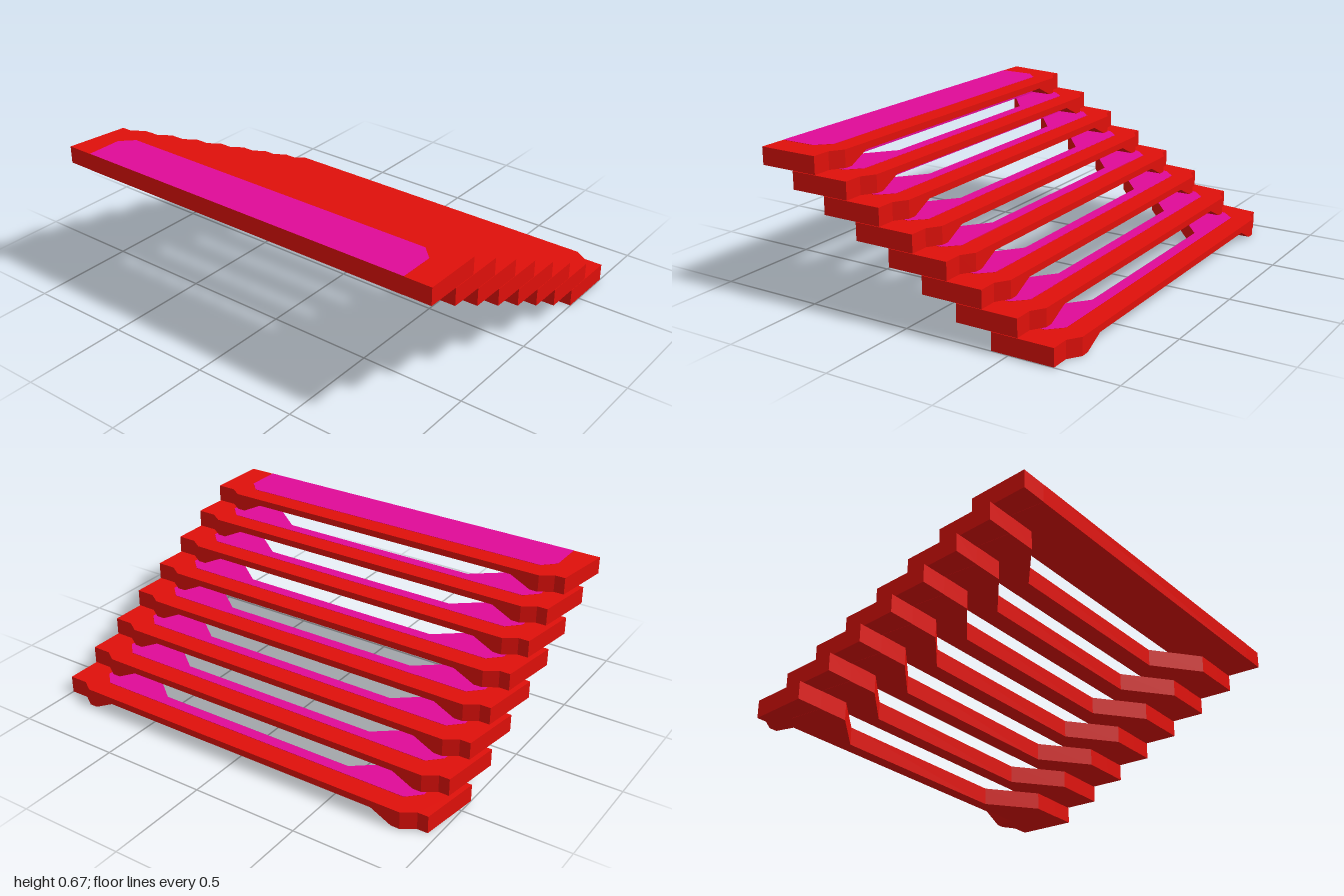
import * as THREE from 'three';

const STEPS = 8, RISE = 0.0838, RUN = 0.167, DEPTH = 0.331, LIP = 0.001;
const HEIGHT = RISE - 2 * LIP;
const red = new THREE.MeshStandardMaterial({ color: 0xe0100a, flatShading: true });
const magenta = new THREE.MeshStandardMaterial({ color: 0xe00a98, flatShading: true });

// Plan points are [x, distance from the step's back edge]
const legInner = [[0.81, 0], [0.81, 0.1], [0.87, 0.16], [0.87, DEPTH]];
const mirrored = pts => pts.map(([x, d]) => [-x, d]);
const rightLegPlan = [...mirrored(legInner), [-1, DEPTH], [-0.96, 0.04], [-0.91, 0.04], [-0.85, 0]];
const leftLegPlan = [...legInner, [1, DEPTH], [1, 0.04], [0.91, 0.04], [0.85, 0]];
const panelPlan = [[-0.87, DEPTH], [-0.87, 0.16], [-0.81, 0.1], [0.81, 0.1], [0.87, 0.16], [0.87, DEPTH]];
const notchedPlan = [...panelPlan, [0.72, DEPTH], [0.5, 0.155], [-0.5, 0.155], [-0.72, DEPTH]];

// Back bar seen from the back: its underside is raised between the ends
const barProfile = [[-0.81, 0], [-0.71, 0.05], [0.71, 0.05], [0.81, 0], [0.81, HEIGHT], [-0.81, HEIGHT]];

const toShape = pts => new THREE.Shape(pts.map(([x, y]) => new THREE.Vector2(x, y)));
const extrude = (pts, depth) => new THREE.ExtrudeGeometry(toShape(pts), { depth, bevelEnabled: false });

// Upright solid over a plan
function prism(plan, height) {
  return extrude(plan.map(([x, d]) => [x, -d]), height).rotateX(-Math.PI / 2);
}

// Solid with a magenta upper face and red underside and sides
function panelGeometry(plan) {
  const geo = prism(plan, RISE);
  const [caps, sides] = geo.groups;
  const half = caps.count / 2;
  geo.clearGroups();
  geo.addGroup(caps.start, half, 0);
  geo.addGroup(caps.start + half, half, 1);
  geo.addGroup(sides.start, sides.count, 0);
  return geo;
}

function addMesh(parent, name, geo, mat, y = 0, z = 0) {
  const mesh = new THREE.Mesh(geo, mat);
  mesh.name = name;
  mesh.position.set(0, y, z);
  parent.add(mesh);
}

export function createModel() {
  const model = new THREE.Group();
  model.name = 'staircase';

  const rightLeg = prism(rightLegPlan, HEIGHT);
  const leftLeg = prism(leftLegPlan, HEIGHT);
  const bar = extrude(barProfile, 0.1);
  const closedPanel = panelGeometry(panelPlan);
  const notchedPanel = panelGeometry(notchedPlan);
  const panelBack = new THREE.PlaneGeometry(1.62, RISE).rotateY(Math.PI);

  for (let i = 0; i < STEPS; i++) {
    const step = new THREE.Group();
    step.name = `step${i + 1}`;
    step.position.set(0, i * RISE, -0.75 + i * RUN);
    model.add(step);

    // Frame: two legs joined by the arched back bar
    addMesh(step, 'rightLeg', rightLeg, red, LIP);
    addMesh(step, 'leftLeg', leftLeg, red, LIP);
    addMesh(step, 'backBar', bar, red, LIP);

    // The top step is closed; the lower ones are notched at the front
    const panel = i === STEPS - 1 ? closedPanel : notchedPanel;
    addMesh(step, 'treadPanel', panel, [red, magenta]);
    addMesh(step, 'panelBack', panelBack, magenta, RISE / 2, 0.099);
  }
  return model;
}
